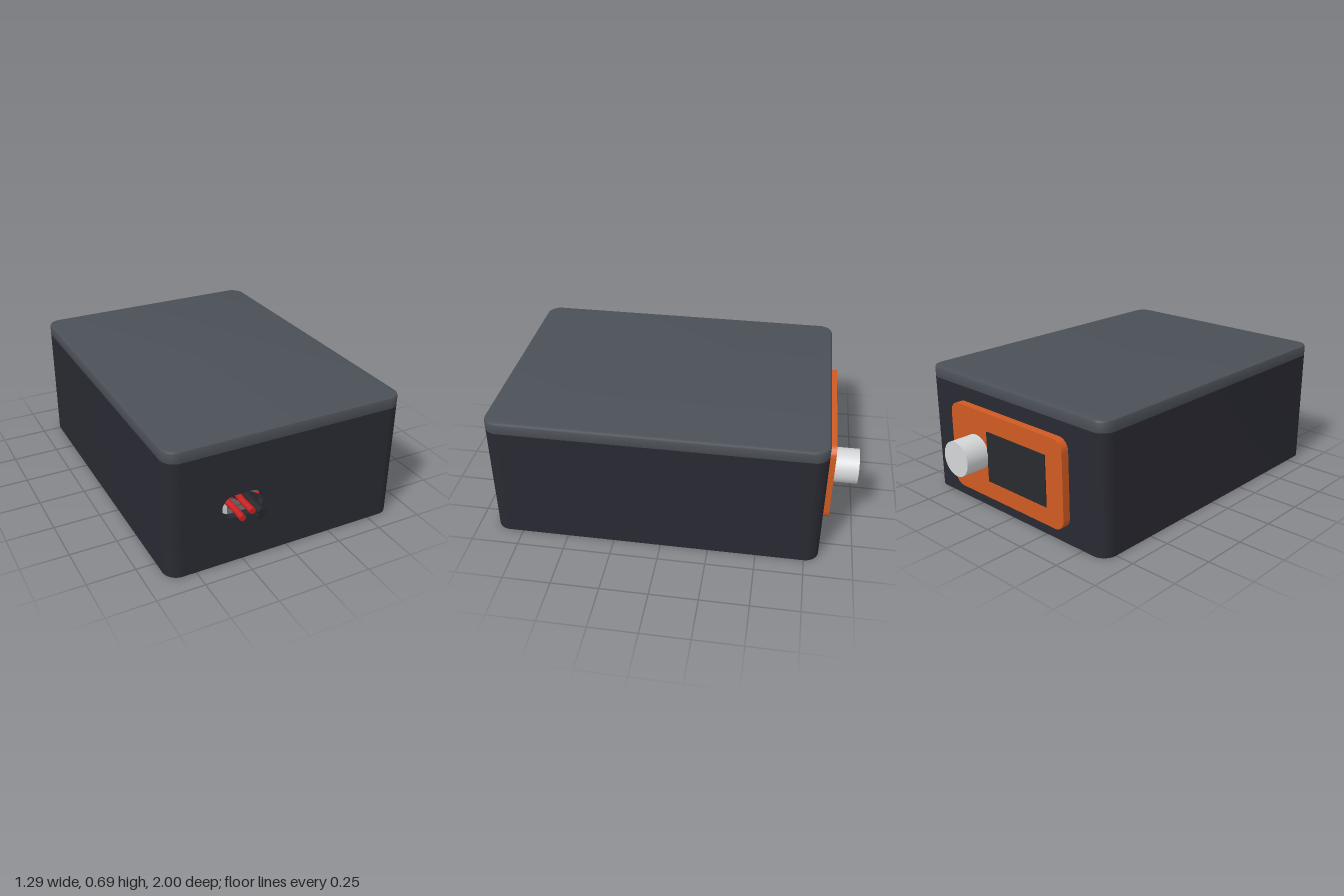
import * as THREE from 'three';
import { toCreasedNormals } from 'three/addons/utils/BufferGeometryUtils.js';

const mat = (name, color) => {
  const m = new THREE.MeshStandardMaterial({ color });
  m.name = name;
  return m;
};

const W = 0.645, D = 0.8625, ZC = 0.0375, R = 0.075, T = 0.04, WALL = 0.63;

// Rounded rectangle centred on cx, cy
function roundedRect(w, h, r, cx = 0, cy = 0) {
  const s = new THREE.Shape(), x = w / 2 - r, y = h / 2 - r, q = Math.PI / 2;
  s.absarc(cx + x, cy + y, r, 0, q);
  s.absarc(cx - x, cy + y, r, q, 2 * q);
  s.absarc(cx - x, cy - y, r, 2 * q, 3 * q);
  s.absarc(cx + x, cy - y, r, 3 * q, 4 * q);
  s.closePath();
  return s;
}

// Extrude to an exact total depth, with an optional bevel kept inside the outline
function extrude(shape, depth, bevel = 0) {
  const g = new THREE.ExtrudeGeometry(shape, {
    depth: depth - 2 * bevel, bevelEnabled: bevel > 0, bevelSize: bevel,
    bevelThickness: bevel, bevelOffset: -bevel, bevelSegments: 2, curveSegments: 10,
  });
  g.translate(0, 0, bevel);
  return toCreasedNormals(g, 0.6);
}

export function createModel() {
  const model = new THREE.Group();
  model.name = 'controlBox';
  const shell = mat('charcoal', 0x292932), lidMat = mat('slate', 0x4b5057);
  const orange = mat('orange', 0xd05a22), silver = mat('silver', 0xd4d5d6);
  const screenMat = mat('screen', 0x282a2f), red = mat('red', 0xc8201f);
  const black = mat('black', 0x25262b), yellow = mat('yellow', 0xe6b41c);
  const white = mat('white', 0xe8e8e4), copper = mat('copper', 0xd98d68);

  const add = (name, geo, material, x = 0, y = 0, z = 0) => {
    const m = new THREE.Mesh(geo, material);
    m.name = name;
    m.position.set(x, y, z);
    model.add(m);
    return m;
  };
  // Box given by its min and max corners
  const box = (name, material, a, b) => add(name,
    new THREE.BoxGeometry(b[0] - a[0], b[1] - a[1], b[2] - a[2]), material,
    (a[0] + b[0]) / 2, (a[1] + b[1]) / 2, (a[2] + b[2]) / 2);
  const wire = (name, material, r, ...pts) => add(name, new THREE.TubeGeometry(
    new THREE.CatmullRomCurve3(pts.map(p => new THREE.Vector3(...p))), 28, r, 10), material);
  const disc = (name, material, r, x, y, z) =>
    add(name, new THREE.CircleGeometry(r, 10), material, x, y, z);

  // Side and rear walls: one C-shaped strip, open underneath
  const q = Math.PI / 2, cx = W - R, cy = D - R, ri = R - T;
  const c = new THREE.Shape();
  c.absarc(-cx, -cy, R, -q, -2 * q, true);
  c.absarc(-cx, cy, R, 2 * q, q, true);
  c.absarc(cx, cy, R, q, 0, true);
  c.absarc(cx, -cy, R, 0, -q, true);
  c.absarc(cx, -cy, ri, -q, 0, false);
  c.absarc(cx, cy, ri, 0, q, false);
  c.absarc(-cx, cy, ri, q, 2 * q, false);
  c.absarc(-cx, -cy, ri, 2 * q, 3 * q, false);
  c.closePath();
  add('walls', extrude(c, WALL).rotateX(-q), shell, 0, 0, ZC);

  // Front wall with the cable slot
  const front = new THREE.Shape();
  front.moveTo(-cx, 0).lineTo(cx, 0).lineTo(cx, WALL).lineTo(-cx, WALL).closePath();
  front.holes.push(roundedRect(0.22, 0.127, 0.0634, -0.253, 0.317));
  add('frontWall', extrude(front, T), shell, 0, 0, ZC + D - T);

  // Lid, its lower bevel sunk into the walls so the joint is flush
  add('lid', extrude(roundedRect(2 * W, 2 * D, R), 0.072, 0.012).rotateX(-q), lidMat, 0, WALL - 0.012, ZC);

  // Screw posts in the corners
  for (const x of [-0.555, 0.555]) for (const z of [-0.735, 0.81])
    add('screwPost', new THREE.CylinderGeometry(0.05, 0.05, 0.6, 24), shell, x, 0.31, z);

  // Inner ribs along both side walls
  for (const s of [-1, 1]) for (let i = 0; i < 11; i++)
    add('wallRib', new THREE.BoxGeometry(0.03, 0.4, 0.035), shell, s * 0.592, 0.34, -0.5 + i * 0.08);

  // Rear control panel: bezel, screen and knob
  add('bezel', extrude(roundedRect(0.83, 0.468, 0.06, 0, 0.317), 0.042), orange, 0, 0, -0.867);
  box('screen', screenMat, [-0.3, 0.18, -0.872], [0.13, 0.453, -0.864]);
  add('knob', new THREE.CylinderGeometry(0.094, 0.094, 0.135, 40).rotateX(q), silver, 0.22, 0.318, -0.9325);
  box('panelBoard', copper, [-0.39, 0.085, -0.785], [0.39, 0.53, -0.54]);

  // Two metal modules, the left one shorter, with sockets and a three-colour lead each
  for (const [x, s, end] of [[-0.37, -1, 0.6], [0.32, 1, 0.34]]) {
    box('module', silver, [x - 0.195, 0.025, -0.15], [x + 0.195, 0.125, end]);
    box('moduleSocket', silver, [x - 0.08, 0.055, -0.25], [x + 0.08, 0.125, -0.15]);
    [white, yellow, red].forEach((m, i) => {
      const o = (1 - i) * 0.03;
      wire('moduleLead', m, 0.014, [x + o, 0.09, -0.24], [x + o, 0.13, -0.3],
        [x + o, 0.25, -0.33], [x + o - s * 0.12, 0.31, -0.42], [x + o - s * 0.2, 0.33, -0.55]);
    });
  }

  // Power plug behind the slot
  box('powerPlug', orange, [-0.38, 0.25, 0.4], [-0.275, 0.35, 0.58]);

  // Cables leaving the slot, with flat cut ends
  const cables = [
    [red, 0.017, -0.308, 0.318, [-0.36, 0.305, 0.58]],
    [red, 0.017, -0.258, 0.343, [-0.2, 0.3, 0.5]],
    [black, 0.024, -0.205, 0.318, [-0.14, 0.26, 0.6]],
    [black, 0.02, -0.215, 0.297, [-0.27, 0.28, 0.58]],
  ];
  for (const [m, r, x, y, end] of cables) {
    wire('powerCable', m, r, [x, y, 1], [x, y, 0.88], [(x + end[0]) / 2, y, 0.72], end);
    disc('cableEnd', m, r, x, y, 1);
  }

  // Loose wiring inside
  wire('redLead', red, 0.016, [-0.2, 0.3, 0.5], [-0.05, 0.22, 0.3], [0, 0.25, -0.2], [0.1, 0.3, -0.56]);
  wire('blackLead', black, 0.018, [-0.14, 0.26, 0.6], [0.03, 0.2, 0.35], [0.04, 0.25, -0.2], [-0.1, 0.3, -0.56]);
  wire('redFeed', red, 0.016, [-0.36, 0.262, 0.6], [-0.25, 0.25, 0.7], [0, 0.2, 0.72], [0.27, 0.09, 0.34]);
  wire('blackFeed', black, 0.028, [-0.24, 0.29, 0.7], [-0.12, 0.22, 0.74], [0.02, 0.17, 0.72]);
  [black, yellow, black].forEach((m, i) =>
    wire('moduleLoop', m, 0.014, [0.3 + i * 0.03, 0.09, 0.33], [0.32 + i * 0.03, 0.11, 0.48],
      [0.17 + i * 0.02, 0.14, 0.7 + i * 0.02], [0.02, 0.16, 0.77 + i * 0.03], [-0.1, 0.2, 0.7]));

  return model;
}
